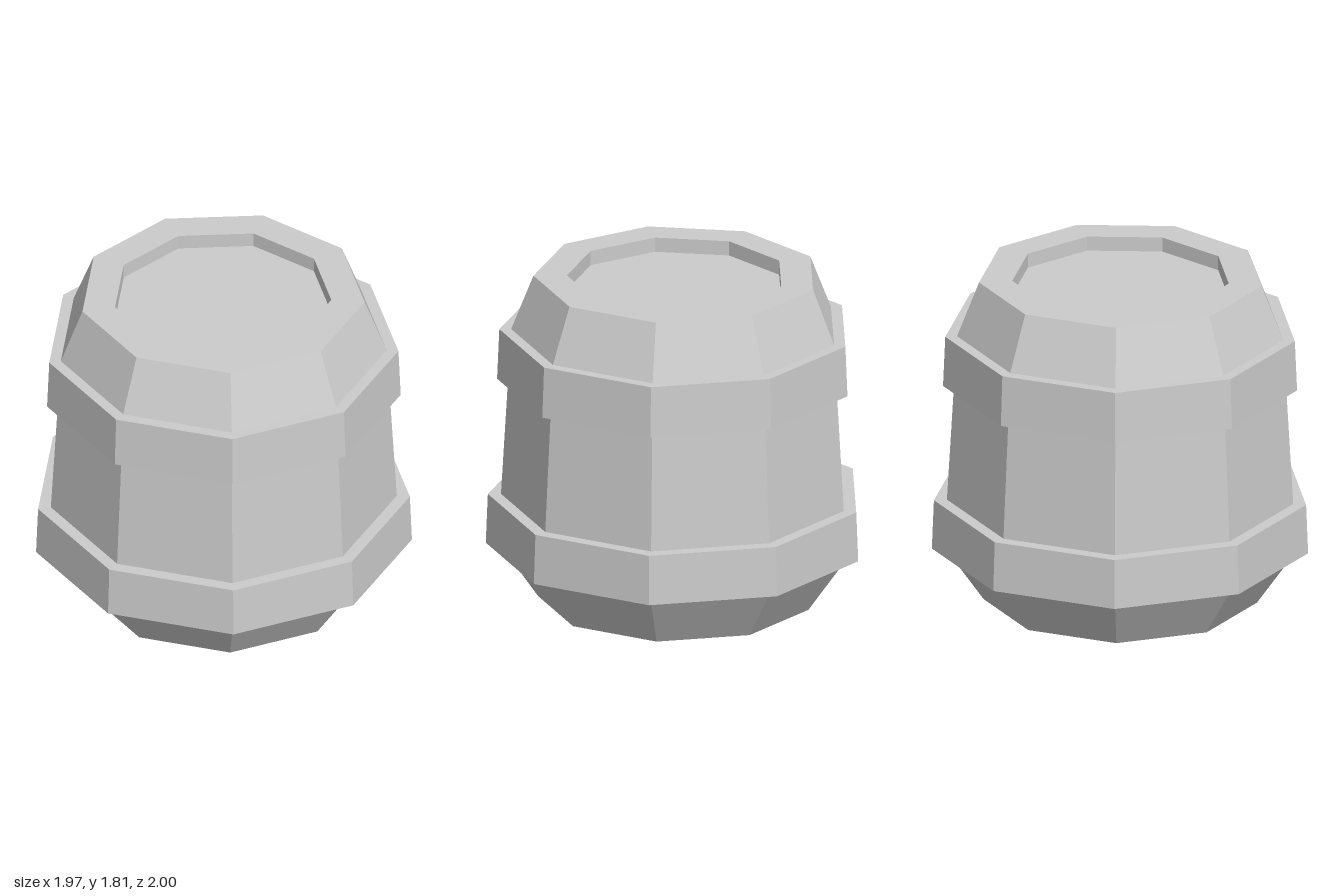
import * as THREE from 'three';

const SIDES = 9;

export function createModel() {
  const barrel = new THREE.Group();
  barrel.name = 'barrel';
  const material = new THREE.MeshStandardMaterial({ color: 0xcccccc, flatShading: true });

  // Turns a [radius, height] profile into a nine-sided part with a corner on -x
  const turn = (name, profile) => {
    const points = profile.map(([r, y]) => new THREE.Vector2(r, y));
    const mesh = new THREE.Mesh(new THREE.LatheGeometry(points, SIDES, -Math.PI / 2), material);
    mesh.name = name;
    mesh.position.x = 0.03; // centres the odd-sided outline
    barrel.add(mesh);
  };

  // Underside, tapered foot, staves, shoulder and rim
  turn('body', [
    [0, 0], [0.737, 0], [0.95, 0.31], [0.88, 1.51], [0.762, 1.81], [0.584, 1.81],
  ]);

  // Recessed lid with its short upright wall
  turn('lid', [[0.584, 1.81], [0.584, 1.73], [0, 1.73]]);

  // Bands around the body, each with a ledge above and below
  turn('lowerBand', [[0.93, 0.305], [1.015, 0.305], [1.004, 0.58], [0.92, 0.58]]);
  turn('upperBand', [[0.88, 1.23], [0.955, 1.23], [0.943, 1.51], [0.87, 1.51]]);

  return barrel;
}
